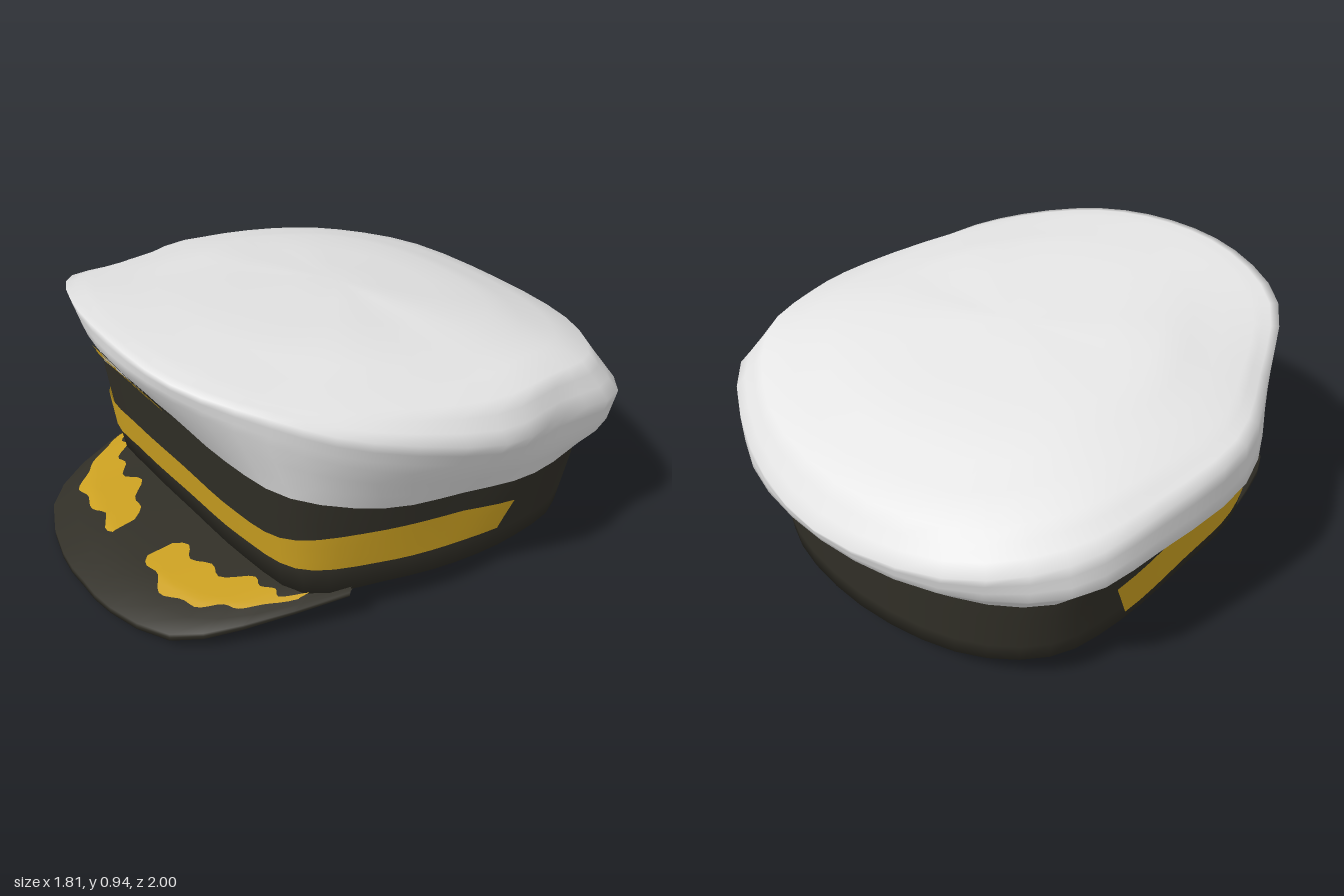
import * as THREE from 'three';
import { mergeVertices } from 'three/addons/utils/BufferGeometryUtils.js';

const white = new THREE.MeshStandardMaterial({ color: 0xe4e4e4 });
white.name = 'white cloth';
const dark = new THREE.MeshStandardMaterial({ color: 0x312f27 });
dark.name = 'dark cloth';
dark.side = THREE.DoubleSide;
const gold = new THREE.MeshStandardMaterial({ color: 0xcba021 });
gold.name = 'gold braid';
gold.side = THREE.DoubleSide;

const { lerp, smoothstep } = THREE.MathUtils;
const vec = (p) => new THREE.Vector3(...p);
const flip = ([x, y, z]) => [-x, y, z];
const wrap = (u) => ((u % 1) + 1) % 1;

// Closed ring from front centre round the left side to back centre, then the
// right side (given with positive x, front to back; mirrored if left out)
function ring(left, right = left.slice(1, -1)) {
  const back = [...right].reverse().map(flip);
  return new THREE.CatmullRomCurve3([...left, ...back].map(vec), true, 'catmullrom');
}

// Open arc from the right end over the centre to the left end
function arc(left, right = left.slice(1)) {
  const start = [...right].reverse().map(flip);
  return new THREE.CatmullRomCurve3([...start, ...left].map(vec), false, 'catmullrom');
}

const point = (p) => new THREE.CatmullRomCurve3(Array(4).fill(p).map(vec), true, 'catmullrom');

// Surface through a list of curves: u runs along them, v counts across them
const loft = (curves) => (u, v) => {
  const i = Math.max(0, Math.min(Math.floor(v), curves.length - 2));
  return curves[i].getPoint(u).lerp(curves[i + 1].getPoint(u), v - i);
};

// Grid of faces over fn(s, t), with s and t from 0 to 1
function sheet(name, material, fn, cols, rows) {
  const pos = [], idx = [];
  for (let j = 0; j <= rows; j++) {
    for (let i = 0; i <= cols; i++) pos.push(...fn(i / cols, j / rows).toArray());
  }
  for (let j = 0; j < rows; j++) {
    for (let i = 0; i < cols; i++) {
      const a = j * (cols + 1) + i, d = a + cols + 1;
      idx.push(a, a + 1, d + 1, a, d + 1, d);
    }
  }
  let geo = new THREE.BufferGeometry();
  geo.setAttribute('position', new THREE.Float32BufferAttribute(pos, 3));
  geo.setIndex(idx);
  geo = mergeVertices(geo, 1e-5);
  geo.computeVertexNormals();
  const mesh = new THREE.Mesh(geo, material);
  mesh.name = name;
  return mesh;
}

export function createModel() {
  const hat = new THREE.Group();
  hat.name = 'peakedCap';

  const bandBottom = ring([[0, .13, .55], [.32, .13, .54], [.58, .13, .48], [.68, .12, .22],
    [.73, .1, -.05], [.72, .07, -.35], [.65, .06, -.62], [.4, .07, -.79], [0, .075, -.85]],
  [[.32, .13, .55], [.6, .13, .52], [.71, .14, .3], [.73, .14, -.02], [.73, .13, -.35],
    [.66, .12, -.62], [.4, .09, -.79]]);
  const bandTop = ring([[0, .57, .61], [.32, .56, .6], [.58, .54, .53], [.71, .46, .26],
    [.75, .41, -.05], [.775, .375, -.35], [.7, .375, -.64], [.42, .36, -.81], [0, .34, -.86]],
  [[.32, .56, .61], [.58, .53, .58], [.71, .45, .36], [.745, .42, 0], [.75, .4, -.35],
    [.7, .39, -.64], [.42, .36, -.81]]);
  const flare = ring([[0, .85, .81], [.3, .83, .76], [.57, .76, .6], [.76, .67, .35],
    [.84, .55, -.04], [.84, .51, -.35], [.8, .49, -.66], [.46, .46, -.9], [0, .45, -.975]],
  [[.3, .83, .76], [.57, .75, .63], [.77, .64, .35], [.905, .57, .05], [.87, .52, -.35],
    [.78, .48, -.66], [.45, .46, -.9]]);
  const rim = ring([[0, .942, .82], [.32, .91, .775], [.59, .86, .6], [.78, .79, .37],
    [.905, .68, -.06], [.87, .66, -.35], [.83, .62, -.66], [.46, .55, -.9], [0, .51, -1]],
  [[.32, .932, .785], [.6, .87, .65], [.77, .77, .34], [.905, .73, .02], [.87, .67, -.35],
    [.77, .6, -.66], [.49, .55, -.91]]);
  const shoulder = ring([[0, .942, .74], [.29, .92, .69], [.54, .875, .52], [.7, .84, .31],
    [.82, .8, -.05], [.81, .79, -.33], [.74, .75, -.59], [.43, .68, -.82], [0, .645, -.9]],
  [[.3, .935, .7], [.55, .88, .56], [.7, .82, .3], [.8, .775, 0], [.77, .74, -.33],
    [.67, .7, -.6], [.43, .66, -.83]]);
  const dome = ring([[0, .93, .45], [.18, .925, .42], [.34, .91, .31], [.44, .895, .17],
    [.52, .865, -.04], [.49, .85, -.24], [.42, .82, -.42], [.24, .79, -.54], [0, .775, -.59]],
  [[.18, .925, .42], [.34, .91, .31], [.44, .895, .17], [.52, .86, -.04], [.48, .835, -.24],
    [.41, .805, -.42], [.24, .785, -.54]]);

  // White crown, from the band up over the rim to the middle of the top
  const crown = loft([bandTop, flare, rim, shoulder, dome, point([0, .88, -.08])]);
  hat.add(sheet('crown', white, (s, t) => crown(wrap(s), t * 5), 48, 15));

  // Dark underside and band in one smooth skin
  const band = loft([point([0, .115, -.1]), bandBottom, bandTop]);
  hat.add(sheet('bandAndUnderside', dark, (s, t) => band(wrap(s), t * 2), 48, 8));

  // Gold stripe round the front and sides of the band
  hat.add(sheet('bandStripe', gold, (s, t) => {
    const k = lerp(-4.95, 4.55, s) + (s - .5) * .36 * t;
    const a = Math.abs(k);
    const top = a < 4 ? lerp(.52, .76, smoothstep(a, 1.2, 3.5)) : lerp(.76, .68, a - 4);
    const p = band(wrap(k / 16), 1 + lerp(.24 + .02 * k, top, t));
    return p.multiply(vec([1.008, 1, 1.009]));
  }, 40, 3));

  // Visor: one skin from under the band, round the edge and back on top
  const visor = loft([
    arc([[0, .09, .48], [.22, .09, .47], [.42, .1, .45], [.56, .11, .41], [.64, .12, .32]]),
    arc([[0, .01, .92], [.17, .015, .91], [.42, .025, .84], [.54, .06, .67], [.66, .115, .36]],
      [[.17, .008, .91], [.45, .002, .84], [.57, .05, .68], [.67, .115, .38]]),
    arc([[0, .02, 1], [.18, .025, .99], [.42, .035, .9], [.55, .07, .7], [.67, .12, .36]],
      [[.18, .018, .99], [.45, .012, .9], [.58, .06, .71], [.68, .12, .38]]),
    arc([[0, .048, 1], [.18, .05, .99], [.42, .062, .9], [.55, .09, .7], [.67, .127, .36]],
      [[.18, .045, .99], [.45, .045, .9], [.58, .085, .71], [.68, .127, .38]]),
    arc([[0, .11, .82], [.2, .11, .81], [.4, .11, .75], [.53, .114, .61], [.66, .133, .35]],
      [[.2, .11, .81], [.41, .108, .75], [.56, .114, .63], [.67, .133, .37]]),
    arc([[0, .14, .52], [.22, .14, .51], [.42, .14, .48], [.56, .14, .44], [.64, .137, .33]]),
  ]);
  hat.add(sheet('visor', dark, (s, t) => visor(s, t * 5), 16, 10));

  // Gold leaf sprays on top of the visor, with ragged edges
  for (const side of [-1, 1]) {
    hat.add(sheet(side > 0 ? 'leftVisorLeaves' : 'rightVisorLeaves', gold, (s, t) => {
      const w = .16 + .22 * Math.sin(Math.PI * s) + .07 * Math.sin(s * 27);
      const centre = 4.17 + .08 * Math.sin(s * 11 + side);
      const p = visor(.5 + side * lerp(.06, .43, s), centre + w * (t * 2 - 1));
      p.y += .008;
      return p;
    }, 28, 8));
  }

  // Emblem: flat pieces laid on the front of the crown at (x, y)
  const onCrown = (x, y, lift) => {
    const v = y < .85 ? (y - .57) / .28 : 1 + (y - .85) / .092;
    return crown(wrap(x / .31 / 16), v).add(vec([0, -.45 * lift, .9 * lift]));
  };
  const emblem = new THREE.Group();
  emblem.name = 'emblem';
  hat.add(emblem);
  const cx = -.045, cy = .745;
  const curved = (name, mat, a0, a1, rx, ry, w, dx, dy, lift) =>
    emblem.add(sheet(name, mat, (s, t) => {
      const a = lerp(a0, a1, s) * Math.PI / 180;
      const k = (t - .5) * w * (.75 + .25 * Math.sin(Math.PI * s));
      return onCrown(cx + dx + Math.cos(a) * (rx + k), cy + dy + Math.sin(a) * (ry + k), lift);
    }, 20, 3));

  // Two wreath branches and inner wings, each with a dark backing down to one side
  curved('wreathBacking', dark, -215, 45, .135, .115, .06, .012, -.012, .005);
  curved('rightWreathBranch', gold, -222, -97, .142, .118, .055, 0, 0, .009);
  curved('leftWreathBranch', gold, -83, 58, .142, .118, .05, 0, 0, .009);
  curved('wingBacking', dark, -185, 5, .08, .058, .05, .014, -.01, .005);
  curved('wings', gold, -172, -25, .078, .058, .038, -.004, -.008, .009);

  // Central stem with a rounded head
  emblem.add(sheet('emblemStem', gold, (s, t) =>
    onCrown(cx - .015 + (s - .5) * (.04 + .05 * Math.sin(Math.PI * t)), lerp(.64, .82, t), .009), 3, 10));
  emblem.add(sheet('emblemHead', gold, (s, t) =>
    onCrown(cx - .02 + Math.cos(s * 2 * Math.PI) * .05 * t,
      .825 + Math.sin(s * 2 * Math.PI) * .04 * t, .009), 14, 3));
  return hat;
}
